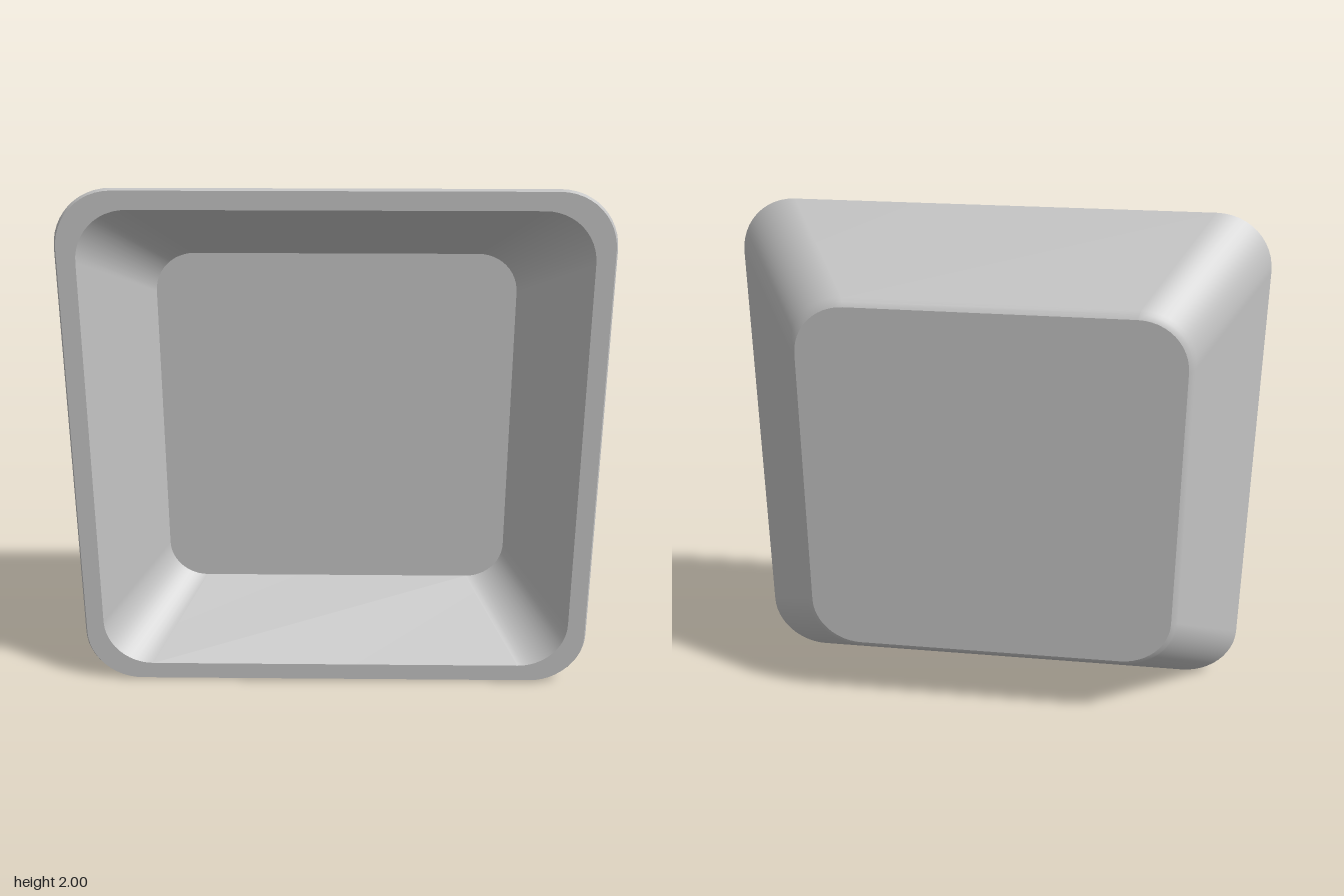
import * as THREE from 'three';

// Points of a rounded square, counter-clockwise seen from the front
function ring([half, radius, z], steps = 12) {
  const points = [];
  for (let corner = 0; corner < 4; corner++) {
    for (let i = 0; i <= steps; i++) {
      const mid = (corner + 0.5) * Math.PI / 2;
      const a = (corner + i / steps) * Math.PI / 2;
      const offset = (half - radius) * Math.SQRT2;
      points.push(
        Math.cos(mid) * offset + Math.cos(a) * radius,
        Math.sin(mid) * offset + Math.sin(a) * radius + 1,
        z
      );
    }
  }
  return points;
}

// Smooth skin through a list of [half width, corner radius, z] rings
function loft(sections) {
  const rings = sections.map((s) => ring(s));
  const n = rings[0].length / 3;
  const index = [];
  for (let r = 0; r < rings.length - 1; r++) {
    for (let i = 0; i < n; i++) {
      const a = r * n + i, b = r * n + (i + 1) % n;
      index.push(a, a + n, b, b, a + n, b + n);
    }
  }
  const geometry = new THREE.BufferGeometry();
  geometry.setAttribute('position', new THREE.Float32BufferAttribute(rings.flat(), 3));
  geometry.setIndex(index);
  geometry.computeVertexNormals();
  return geometry;
}

export function createModel() {
  const group = new THREE.Group();
  group.name = 'tray';
  const grey = new THREE.MeshStandardMaterial({ color: 0xc4c4c4 });
  grey.name = 'light grey';

  const floorEdge = [0.69, 0.15, -0.12];
  const innerLip = [0.925, 0.19, 0.2];
  const outerLip = [0.993, 0.21, 0.2];
  const widest = [1, 0.215, 0.187];
  const backEdge = [0.715, 0.19, -0.2];

  const parts = {
    floor: [[0, 0, -0.12], floorEdge],
    innerWall: [floorEdge, innerLip],
    rim: [innerLip, outerLip],
    rimEdge: [outerLip, widest],
    // sloping wall with a small rounded turn into the back
    outerWall: [widest, [0.741, 0.205, -0.175], [0.732, 0.2, -0.19], backEdge],
    back: [backEdge, [0, 0, -0.2]],
  };
  for (const [name, sections] of Object.entries(parts)) {
    const mesh = new THREE.Mesh(loft(sections), grey);
    mesh.name = name;
    group.add(mesh);
  }
  return group;
}
